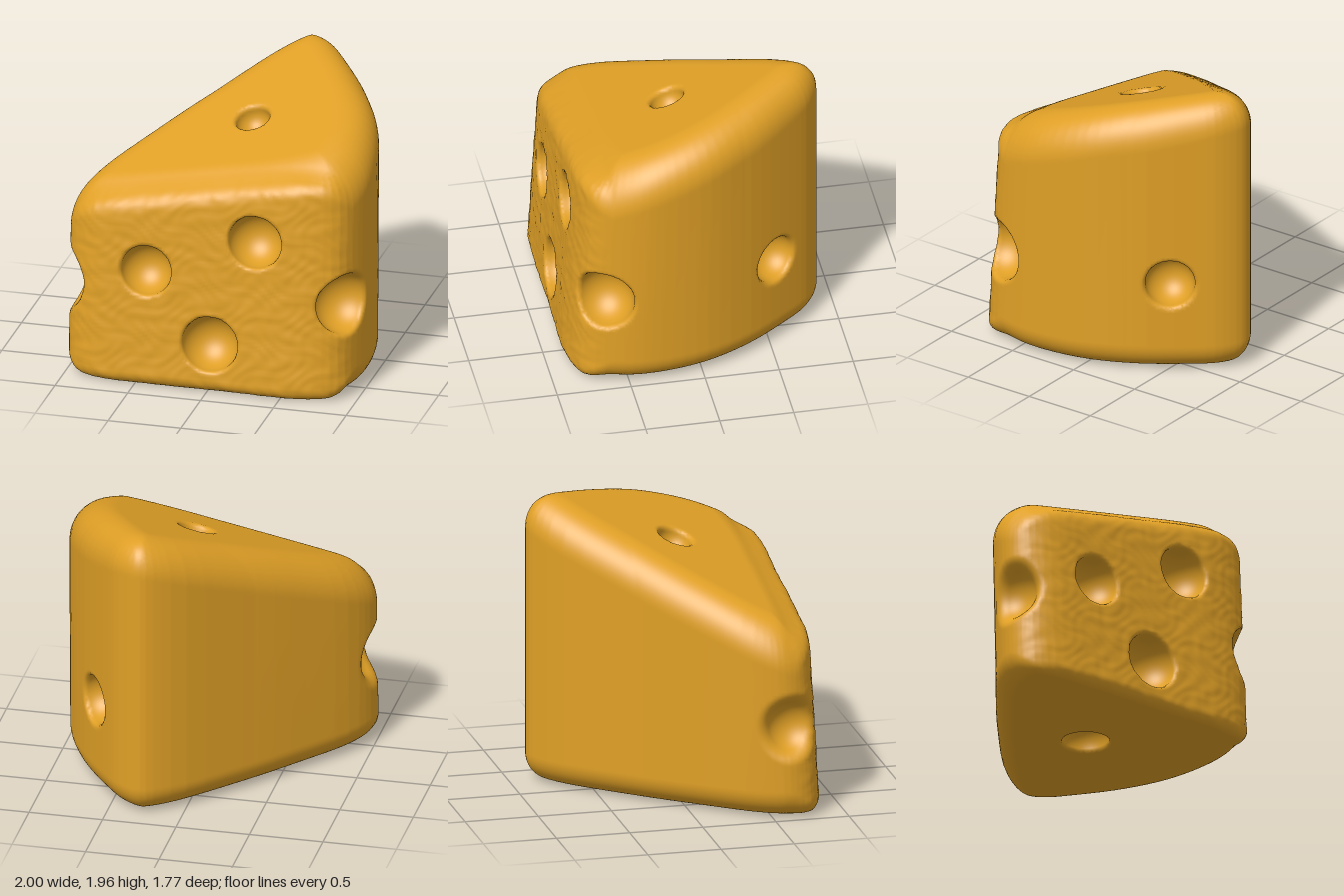
import * as THREE from 'three';

const { clamp, lerp, smoothstep: smooth } = THREE.MathUtils;

// Plan outline [x, z], drawn as a smooth closed curve
const PLAN = new THREE.CatmullRomCurve3([
  [0.28, -0.89], [0.085, -0.79], [-0.31, -0.38], [-0.65, 0.03], [-0.93, 0.41],
  [-1.0, 0.62], [-0.955, 0.76], [-0.8, 0.85], [-0.45, 0.875], [0.1, 0.878],
  [0.65, 0.875], [0.88, 0.785], [0.98, 0.55], [0.997, 0.31], [0.94, -0.03],
  [0.8, -0.35], [0.6, -0.64], [0.44, -0.82],
].map(([x, z]) => new THREE.Vector3(x, 0, z)), true).getPoints(72).slice(0, -1);

// Round holes: x, y, z, radius, softness of the rim
const HOLES = [
  [-0.425, 0.81, 0.79, 0.172, 0.03],
  [0.32, 1.085, 0.77, 0.183, 0.03],
  [0.02, 0.34, 0.82, 0.19, 0.03],
  [0.9, 0.66, 0.665, 0.205, 0.035],   // front corner, left
  [-1.02, 0.635, 0.62, 0.19, 0.07],   // front corner, right
  [0.64, 0.65, -0.53, 0.165, 0.035],  // curved side
  [0.115, 1.65, 0.08, 0.115, 0.035],  // top
  [0.03, 0.03, 0.13, 0.155, 0.03],    // underside
];

// Signed distance to the plan outline
function planDistance(x, z) {
  let best = Infinity, inside = false;
  for (let i = 0, j = PLAN.length - 1; i < PLAN.length; j = i++) {
    const a = PLAN[i], b = PLAN[j];
    const ex = b.x - a.x, ez = b.z - a.z, wx = x - a.x, wz = z - a.z;
    const t = clamp((wx * ex + wz * ez) / (ex * ex + ez * ez), 0, 1);
    best = Math.min(best, (wx - ex * t) ** 2 + (wz - ez * t) ** 2);
    if ((a.z > z) !== (b.z > z) && x < a.x + ((z - a.z) / ez) * ex) inside = !inside;
  }
  return inside ? -Math.sqrt(best) : Math.sqrt(best);
}

// Intersection of two solids with a rounded edge of radius r
function roundMax(a, b, r) {
  const u = Math.max(a + r, 0), v = Math.max(b + r, 0);
  return Math.min(Math.max(a, b) + r, 0) + Math.sqrt(u * u + v * v) - r;
}

// Signed distance to the whole wedge
function wedgeDistance(x, y, z) {
  // Front face leans back a little and is slightly rough
  const front = smooth(z, 0.6, 0.82);
  const rough = 0.0025 * front * (
    Math.sin(19 * x + 7 * y + 2 * Math.sin(13 * y)) * Math.sin(25 * y - 6 * x + 2 * Math.sin(9 * x)) +
    0.6 * Math.sin(37 * x + 3 * Math.sin(17 * y)) * Math.sin(41 * y + 3 * Math.sin(15 * x)));
  const side = planDistance(x, z + 0.06 * y * clamp(z + 0.3, 0, 1)) + rough;
  // Edges are tighter along the front and softest on the curved side
  const topRadius = lerp(0.27 + 0.06 * smooth(x, 0.2, 0.8), 0.12, front);
  const top = (y - (1.692 + 0.194 * x - 0.331 * z)) / 1.07;
  let d = roundMax(side, top, topRadius);
  d = roundMax(d, -y, lerp(0.19, 0.09, front));
  for (const [hx, hy, hz, r, soft] of HOLES) {
    const distance = Math.sqrt((x - hx) ** 2 + (y - hy) ** 2 + (z - hz) ** 2);
    d = roundMax(d, r - distance, soft);
  }
  return d;
}

function gradient(p, e = 0.004) {
  return new THREE.Vector3(
    wedgeDistance(p.x + e, p.y, p.z) - wedgeDistance(p.x - e, p.y, p.z),
    wedgeDistance(p.x, p.y + e, p.z) - wedgeDistance(p.x, p.y - e, p.z),
    wedgeDistance(p.x, p.y, p.z + e) - wedgeDistance(p.x, p.y, p.z - e),
  ).divideScalar(2 * e);
}

// Turns the distance field into a smooth quad-based surface
function buildSurface(min, cell, n) {
  const step = [1, n, n * n];
  const values = new Float32Array(n * n * n);
  const vertexOf = new Int32Array(n * n * n).fill(-1);
  const positions = [], normals = [], indices = [];
  const at = (i, j, k) => i + j * n + k * n * n;

  for (let k = 0; k < n; k++) for (let j = 0; j < n; j++) for (let i = 0; i < n; i++) {
    values[at(i, j, k)] = wedgeDistance(min.x + i * cell, min.y + j * cell, min.z + k * cell);
  }

  // One vertex in each cell that the surface crosses
  for (let k = 0; k < n - 1; k++) for (let j = 0; j < n - 1; j++) for (let i = 0; i < n - 1; i++) {
    const base = at(i, j, k);
    if (Math.abs(values[base]) > 3 * cell) continue;
    const sum = new THREE.Vector3();
    let count = 0;
    for (let c = 0; c < 8; c++) {
      const bits = [c & 1, (c >> 1) & 1, (c >> 2) & 1];
      const corner = base + at(...bits);
      const a = values[corner];
      for (let axis = 0; axis < 3; axis++) {
        if (bits[axis]) continue;
        const b = values[corner + step[axis]];
        if ((a < 0) === (b < 0)) continue;
        const q = bits.slice();
        q[axis] = a / (a - b);
        sum.add(new THREE.Vector3(...q));
        count++;
      }
    }
    if (!count) continue;
    const p = sum.divideScalar(count).add(new THREE.Vector3(i, j, k)).multiplyScalar(cell).add(min);
    // Pull the vertex onto the exact surface
    for (let s = 0; s < 2; s++) {
      const g = gradient(p);
      const distance = wedgeDistance(p.x, p.y, p.z) / Math.max(g.lengthSq(), 0.3);
      p.addScaledVector(g, -clamp(distance, -cell / 3, cell / 3));
    }
    const normal = gradient(p, 0.008).normalize();
    vertexOf[base] = positions.length / 3;
    positions.push(p.x, p.y, p.z);
    normals.push(normal.x, normal.y, normal.z);
  }

  // One quad around each grid edge that the surface crosses
  for (let k = 1; k < n - 1; k++) for (let j = 1; j < n - 1; j++) for (let i = 1; i < n - 1; i++) {
    const p = at(i, j, k);
    for (let axis = 0; axis < 3; axis++) {
      const inside = values[p] < 0;
      if (inside === (values[p + step[axis]] < 0)) continue;
      const b = step[(axis + 1) % 3], c = step[(axis + 2) % 3];
      const q = [p - b - c, p - c, p, p - b].map((v) => vertexOf[v]);
      if (!inside) q.reverse();
      indices.push(q[0], q[1], q[2], q[0], q[2], q[3]);
    }
  }

  const geometry = new THREE.BufferGeometry();
  geometry.setAttribute('position', new THREE.Float32BufferAttribute(positions, 3));
  geometry.setAttribute('normal', new THREE.Float32BufferAttribute(normals, 3));
  geometry.setIndex(indices);
  return geometry;
}

export function createModel() {
  const group = new THREE.Group();
  group.name = 'cheese';
  const cheese = new THREE.MeshStandardMaterial({ color: 0xe0a026 });
  cheese.name = 'cheese yellow';

  // Wedge with its holes, one continuous surface
  const wedge = new THREE.Mesh(
    buildSurface(new THREE.Vector3(-1.06, -0.06, -1.06), 0.0205, 105), cheese);
  wedge.name = 'cheeseWedge';
  group.add(wedge);
  return group;
}
